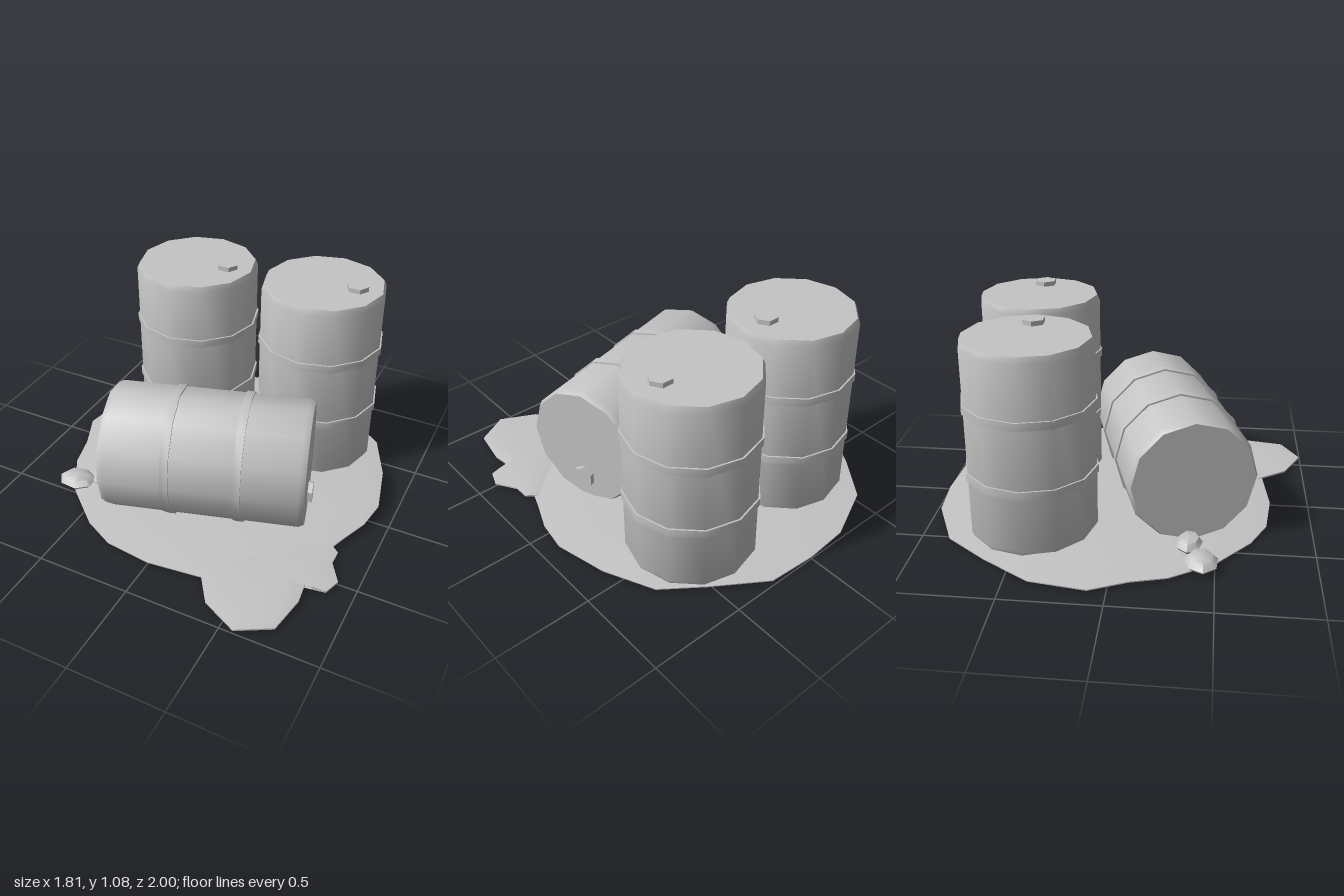
import * as THREE from 'three';
import { toCreasedNormals } from 'three/addons/utils/BufferGeometryUtils.js';

const grey = new THREE.MeshStandardMaterial({ color: 0xc4c4c4 });
grey.name = 'grey';
const CREASE = 0.7;

function part(parent, name, geometry, x = 0, y = 0, z = 0) {
  const mesh = new THREE.Mesh(toCreasedNormals(geometry, CREASE), grey);
  mesh.name = name;
  mesh.position.set(x, y, z);
  parent.add(mesh);
  return mesh;
}

// Twelve-sided drum standing on its own origin, bung towards +x
function makeBarrel(name) {
  const barrel = new THREE.Group();
  barrel.name = name;
  const profile = [[0, 0], [0.32, 0], [0.334, 0.03], [0.334, 1.01], [0.32, 1.04], [0, 1.04]]
    .map(([r, y]) => new THREE.Vector2(r, y));
  part(barrel, 'barrelBody', new THREE.LatheGeometry(profile, 12));
  for (const y of [0.345, 0.705]) {
    part(barrel, 'barrelHoop', new THREE.CylinderGeometry(0.343, 0.343, 0.042, 12), 0, y, 0);
  }
  const bung = new THREE.CylinderGeometry(0.06, 0.06, 0.03, 6).rotateY(Math.PI / 2);
  part(barrel, 'barrelBung', bung, 0.183, 1.05, 0);
  return barrel;
}

// Shallow dome over an outline: top rings shrink towards the centre, flat underside
function makePuddle(outline, cx, cz, bottom, edge, peak) {
  const n = outline.length;
  const rings = [[0, bottom], [1, bottom], [1, edge],
    [0.8, edge + (peak - edge) * 0.6], [0.45, peak], [0, peak]];
  const positions = [];
  const index = [];
  for (const [s, y] of rings) {
    for (const [x, z] of outline) positions.push(cx + (x - cx) * s, y, cz + (z - cz) * s);
  }
  for (let r = 0; r < rings.length - 1; r++) {
    for (let i = 0; i < n; i++) {
      const a = r * n + i, b = r * n + (i + 1) % n;
      if (rings[r][0] > 0) index.push(a, a + n, b);
      if (rings[r + 1][0] > 0) index.push(b, a + n, b + n);
    }
  }
  const geometry = new THREE.BufferGeometry();
  geometry.setAttribute('position', new THREE.Float32BufferAttribute(positions, 3));
  geometry.setIndex(index);
  return geometry;
}

export function createModel() {
  const model = new THREE.Group();
  model.name = 'barrelSpill';

  // Two standing barrels
  const rightBarrel = makeBarrel('rightStandingBarrel');
  rightBarrel.position.set(-0.347, 0.02, -0.443);
  const leftBarrel = makeBarrel('leftStandingBarrel');
  leftBarrel.position.set(0.37, 0.02, -0.515);

  // Barrel lying on its side
  const fallen = makeBarrel('fallenBarrel');
  fallen.position.set(-0.425, 0.345, 0.385);
  fallen.rotation.set(0, 0.283, -Math.PI / 2);
  model.add(rightBarrel, leftBarrel, fallen);

  // Main puddle
  const main = [
    [0, -1], [0.26, -0.985], [0.52, -0.81], [0.72, -0.66], [0.84, -0.4], [0.905, -0.12],
    [0.88, 0.05], [0.82, 0.2], [0.77, 0.34], [0.64, 0.53], [0.46, 0.69], [0.28, 0.765],
    [0, 0.795], [-0.25, 0.765], [-0.42, 0.68], [-0.63, 0.5], [-0.77, 0.28], [-0.82, 0.1],
    [-0.905, -0.09], [-0.86, -0.38], [-0.7, -0.63], [-0.53, -0.85], [-0.24, -0.98],
  ];
  part(model, 'mainPuddle', makePuddle(main, 0, -0.05, 0.01, 0.016, 0.043));

  // Overflow at the front left
  const overflow = [
    [0.62, 0.36], [0.78, 0.27], [0.83, 0.31], [0.83, 0.39], [0.9, 0.5], [0.87, 0.585],
    [0.8, 0.59], [0.76, 0.57], [0.775, 0.7], [0.74, 0.9], [0.57, 0.995], [0.38, 0.9],
    [0.25, 0.71], [0.4, 0.5],
  ];
  part(model, 'overflowPuddle', makePuddle(overflow, 0.62, 0.62, 0.011, 0.02, 0.031));

  // Thick blobs beside the fallen barrel
  const blobs = [
    [-0.655, 0.045, 0.435, 0.105, 0.038, 0.085, 0.1],
    [-0.5, 0.048, 0.37, 0.095, 0.042, 0.068, -0.1],
  ];
  for (const [x, y, z, sx, sy, sz, turn] of blobs) {
    const blob = new THREE.SphereGeometry(1, 7, 4).scale(sx, sy, sz);
    part(model, 'spillBlob', blob, x, y, z).rotation.y = turn;
  }
  return model;
}
